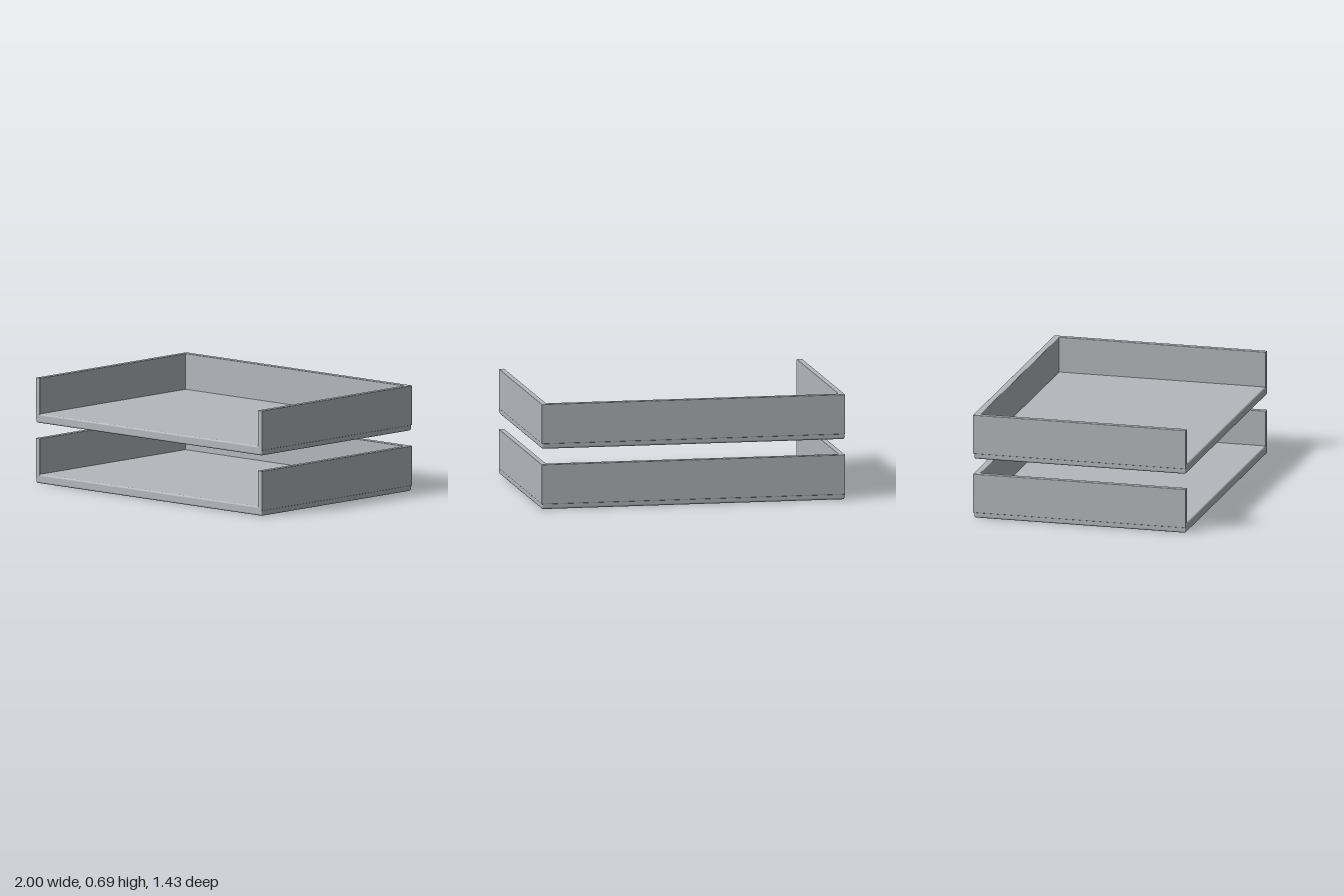
import * as THREE from 'three';
import { RoundedBoxGeometry } from 'three/addons/geometries/RoundedBoxGeometry.js';

const grey = new THREE.MeshStandardMaterial({ color: 0xb4b8bd });
grey.name = 'light grey';

// Softly rounded box given by its lower and upper corners
function panel(name, [x0, y0, z0], [x1, y1, z1], radius) {
  const geometry = new RoundedBoxGeometry(x1 - x0, y1 - y0, z1 - z0, 3, radius);
  geometry.translate((x0 + x1) / 2, (y0 + y1) / 2, (z0 + z1) / 2);
  const mesh = new THREE.Mesh(geometry, grey);
  mesh.name = name;
  return mesh;
}

function createTray(name, y) {
  const tray = new THREE.Group();
  tray.name = name;
  tray.position.y = y;

  // Thick floor, set in slightly under the back wall
  tray.add(panel('floor', [-0.998, 0, -0.706], [0.998, 0.06, 0.713], 0.012));

  // Side walls, open at the front
  for (const [side, s] of [['left', 1], ['right', -1]]) {
    const xs = [s * 0.963, s].sort((a, b) => a - b);
    tray.add(panel(side + 'Wall', [xs[0], 0.034, -0.713], [xs[1], 0.294, 0.713], 0.004));
    // Lower side strip closing the rounded floor edge
    const ls = [s * 0.95, s * 0.998].sort((a, b) => a - b);
    tray.add(panel(side + 'LowerEdge', [ls[0], 0.004, -0.705], [ls[1], 0.05, 0.713], 0.008));
  }

  // Back wall overhangs the floor
  tray.add(panel('backWall', [-1, 0.034, -0.713], [1, 0.294, -0.67], 0.004));
  return tray;
}

export function createModel() {
  const model = new THREE.Group();
  model.name = 'stackedTrays';
  model.add(createTray('lowerTray', 0), createTray('upperTray', 0.395));
  return model;
}
